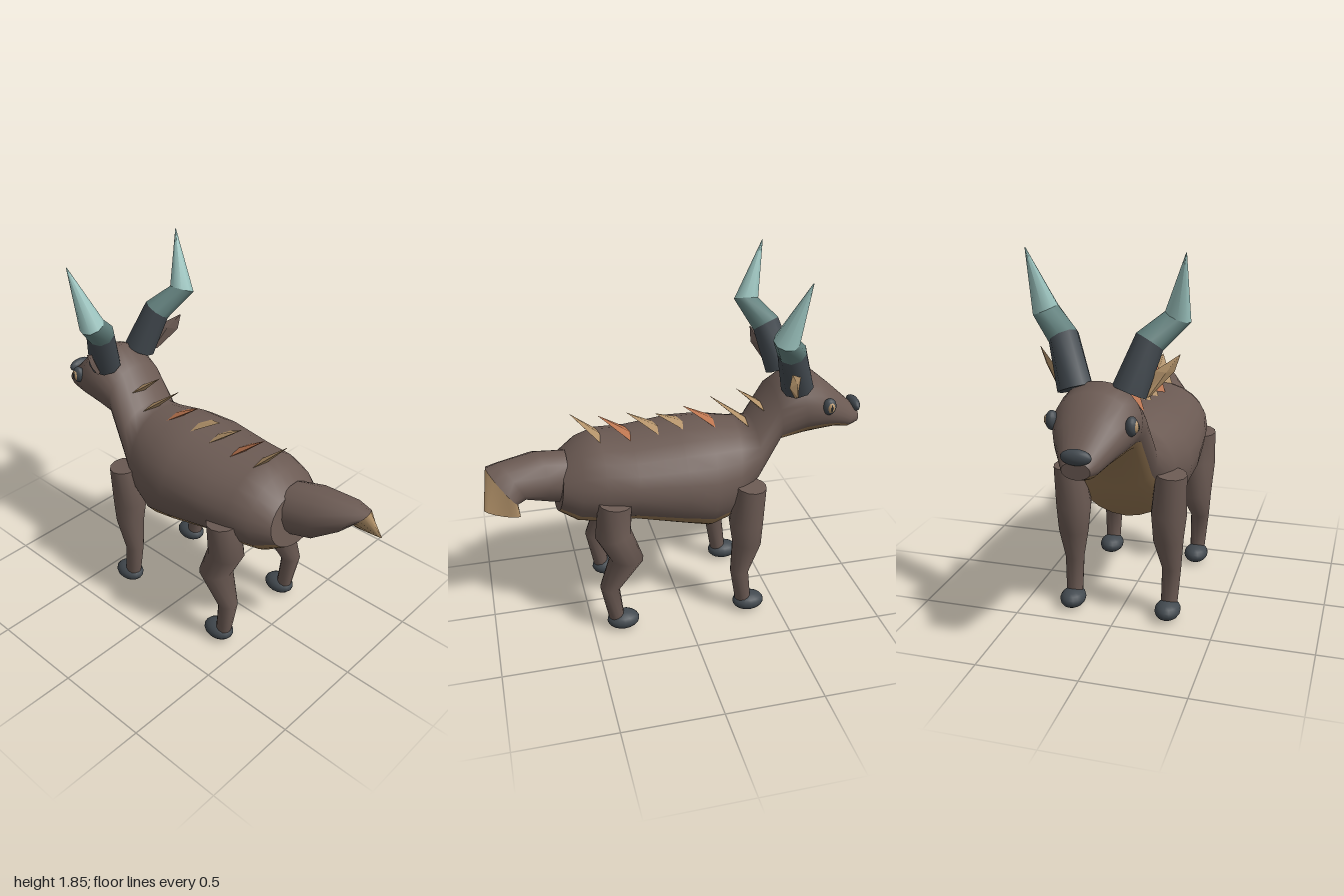
import * as THREE from 'three';

const mat = (name, color) => Object.assign(new THREE.MeshStandardMaterial({ color }), { name });
const V = (x, y, z) => new THREE.Vector3(x, y, z);

// Skin a run of elliptical rings {c, u, v}; pick(i, j) chooses a material for each panel.
function loft(name, rings, n, mats, pick = () => 0, flat = false) {
  const pos = [];
  const lists = mats.map(() => []);
  const point = (r, j) => {
    const a = (j / n) * Math.PI * 2;
    return r.c.clone().addScaledVector(r.u, Math.cos(a)).addScaledVector(r.v, Math.sin(a));
  };
  const along = rings[1].c.clone().sub(rings[0].c);
  const flip = rings[0].u.clone().cross(rings[0].v).dot(along) < 0;
  const tri = (m, a, b, c) => lists[m].push(...(flip ? [a, c, b] : [a, b, c]));
  rings.forEach((r) => { for (let j = 0; j < n; j++) pos.push(...point(r, j).toArray()); });
  for (let i = 0; i < rings.length - 1; i++) {
    for (let j = 0; j < n; j++) {
      const k = (j + 1) % n, a = i * n + j, b = i * n + k, m = pick(i, j);
      tri(m, a, b, a + n);
      tri(m, b, b + n, a + n);
    }
  }
  // End caps with their own vertices so the rims stay sharp
  [[0, true], [rings.length - 1, false]].forEach(([i, start]) => {
    const base = pos.length / 3;
    for (let j = 0; j < n; j++) pos.push(...point(rings[i], j).toArray());
    pos.push(...rings[i].c.toArray());
    const m = pick(Math.min(i, rings.length - 2), 0);
    for (let j = 0; j < n; j++) {
      const a = base + j, b = base + (j + 1) % n;
      if (start) tri(m, b, a, base + n); else tri(m, a, b, base + n);
    }
  });
  let g = new THREE.BufferGeometry();
  g.setAttribute('position', new THREE.Float32BufferAttribute(pos, 3));
  g.setIndex(lists.flat());
  let start = 0;
  lists.forEach((l, m) => { g.addGroup(start, l.length, m); start += l.length; });
  if (flat) g = g.toNonIndexed();
  g.computeVertexNormals();
  const mesh = new THREE.Mesh(g, mats);
  mesh.name = name;
  return mesh;
}

// Round rings standing square to a path of [x, y, z, radius]
function pathRings(pts, side) {
  const c = pts.map((p) => V(p[0] * side, p[1], p[2]));
  return c.map((p, i) => {
    const t = c[Math.min(i + 1, c.length - 1)].clone().sub(c[Math.max(i - 1, 0)]).normalize();
    const u = V(0, 0, 1).cross(t).normalize();
    return { c: p, u: u.clone().multiplyScalar(pts[i][3]), v: t.clone().cross(u).multiplyScalar(pts[i][3]) };
  });
}

function ellipsoid(name, material, x, y, z, rx, ry, rz) {
  const g = new THREE.SphereGeometry(1, 16, 10).scale(rx, ry, rz).translate(x, y, z);
  const mesh = new THREE.Mesh(g, material);
  mesh.name = name;
  return mesh;
}

export function createModel() {
  const brown = mat('brown hide', 0x6b5a53);
  const tan = mat('tan', 0xb5946b);
  const belly = mat('belly tan', 0x947652);
  const slate = mat('dark slate', 0x42494f);
  const teal = mat('horn teal', 0x64827f);
  const pale = mat('pale horn', 0x9cc4bf);
  const rust = mat('rust', 0xbd7650);
  const model = new THREE.Group();
  model.name = 'hornedAnimal';

  // Trunk, neck and head: top z, top y, bottom z, bottom y, half width
  const sections = [
    [0.59, 0.93, 0.635, 0.65, 0.19], [0.5, 1.0, 0.54, 0.59, 0.25], [0.4, 1.03, 0.4, 0.57, 0.285],
    [0.24, 1.02, 0.26, 0.58, 0.31], [0, 1.05, 0, 0.51, 0.33], [-0.16, 1.05, -0.14, 0.47, 0.32],
    [-0.31, 1.03, -0.24, 0.49, 0.27], [-0.405, 1.025, -0.4, 0.7, 0.21], [-0.5, 1.21, -0.53, 0.915, 0.185],
    [-0.62, 1.29, -0.66, 0.94, 0.2], [-0.72, 1.265, -0.76, 0.95, 0.19], [-0.82, 1.18, -0.84, 0.95, 0.15],
    [-0.94, 1.07, -0.92, 0.93, 0.09], [-0.98, 1.03, -0.975, 0.95, 0.065],
  ].map(([tz, ty, bz, by, w]) => ({
    c: V(0, (ty + by) / 2, (tz + bz) / 2),
    u: V(w, 0, 0),
    v: V(0, (ty - by) / 2, (tz - bz) / 2),
  }));
  model.add(loft('bodyAndHead', sections, 24, [brown, belly], (i, j) => (j >= 14 && j < 22 ? 1 : 0)));
  model.add(ellipsoid('nose', slate, 0, 1.05, -0.97, 0.07, 0.036, 0.029));

  // Tail swings to one side and ends in a flattened tuft
  const tail = [
    { c: V(0.02, 0.82, 0.57), u: V(0.13, 0, 0), v: V(0, 0.14, 0) },
    { c: V(0.04, 0.85, 0.71), u: V(0.13, 0, -0.04), v: V(0, 0.13, 0) },
    { c: V(0.09, 0.87, 0.85), u: V(0.1, 0, -0.035), v: V(-0.01, 0.095, 0.05) },
    { c: V(0.125, 0.87, 0.9), u: V(0.085, -0.02, -0.025), v: V(-0.035, 0.075, 0.065) },
  ];
  model.add(loft('tail', tail, 14, [brown]));
  const tuftEnd = { c: V(0.185, 0.75, 0.91), u: V(0.015, -0.01, 0), v: V(-0.015, 0.02, 0.088) };
  model.add(loft('tailTuft', [tail[3], tuftEnd], 14, [tan]));

  // Back spikes: base z, base y, tip z, tip y
  [
    [-0.445, 1.1, -0.32, 1.2], [-0.365, 1.02, -0.18, 1.175], [-0.19, 1.035, -0.04, 1.135],
    [-0.035, 1.035, 0.105, 1.11], [0.1, 1.025, 0.25, 1.13], [0.245, 1.01, 0.395, 1.13],
    [0.4, 1.02, 0.535, 1.155],
  ].forEach(([bz, by, tz, ty], i) => {
    const dir = V(0, ty - by, tz - bz).normalize();
    const up = V(0, dir.z, -dir.y).multiplyScalar(0.015);
    const rings = [
      { c: V(0, by, bz), u: V(0.085, 0, 0), v: up },
      { c: V(0, ty, tz), u: V(0.001, 0, 0), v: up.clone().multiplyScalar(0.05) },
    ];
    model.add(loft('backSpike' + (i + 1), rings, 4, [i === 2 || i === 5 ? rust : tan], undefined, true));
  });

  const frontPath = [
    [0.26, 0.775, -0.335, 0.078], [0.245, 0.56, -0.318, 0.09], [0.245, 0.43, -0.325, 0.077],
    [0.255, 0.26, -0.288, 0.049], [0.25, 0.07, -0.315, 0.042],
  ];
  const hindPath = [
    [0.255, 0.775, 0.365, 0.085], [0.245, 0.59, 0.38, 0.093], [0.245, 0.435, 0.315, 0.088],
    [0.255, 0.27, 0.408, 0.051], [0.25, 0.07, 0.376, 0.04],
  ];

  [['left', 1], ['right', -1]].forEach(([label, s]) => {
    // Legs and feet
    model.add(loft(label + 'FrontLeg', pathRings(frontPath, s), 12, [brown]));
    model.add(loft(label + 'HindLeg', pathRings(hindPath, s), 12, [brown]));
    model.add(ellipsoid(label + 'FrontFoot', slate, 0.25 * s, 0.052, -0.345, 0.065, 0.048, 0.085));
    model.add(ellipsoid(label + 'HindFoot', slate, 0.25 * s, 0.052, 0.342, 0.065, 0.048, 0.085));

    // Horn in three colour bands
    const horn = pathRings([
      [0.125, 1.24, -0.6, 0.083], [0.2, 1.46, -0.532, 0.072], [0.312, 1.565, -0.457, 0.064],
      [0.365, 1.855, -0.55, 0.002],
    ], s);
    [slate, teal, pale].forEach((m, i) =>
      model.add(loft(label + 'Horn' + ['Base', 'Middle', 'Tip'][i], [horn[i], horn[i + 1]], 9, [m])));

    // Leaf-shaped ear, pale on its outer face
    const ear = (x, y, z, w, t) => ({
      c: V(x * s, y, z),
      u: V(0.65 * w * s, -0.15 * w, 0.75 * w),
      v: V(0.65 * t * s, -0.35 * t, -0.65 * t),
    });
    const earRings = [ear(0.2, 1.22, -0.57, 0.02, 0.01), ear(0.27, 1.33, -0.53, 0.055, 0.012),
      ear(0.33, 1.4, -0.49, 0.002, 0.001)];
    model.add(loft(label + 'Ear', earRings, 4, [brown, tan], (i, j) => (j < 2 ? 1 : 0), true));

    // Eye with iris and slit pupil
    model.add(ellipsoid(label + 'Eye', slate, 0.182 * s, 1.135, -0.758, 0.028, 0.045, 0.036));
    model.add(ellipsoid(label + 'Iris', tan, 0.195 * s, 1.135, -0.76, 0.021, 0.03, 0.022));
    model.add(ellipsoid(label + 'Pupil', slate, 0.203 * s, 1.135, -0.76, 0.016, 0.024, 0.007));
  });
  return model;
}
